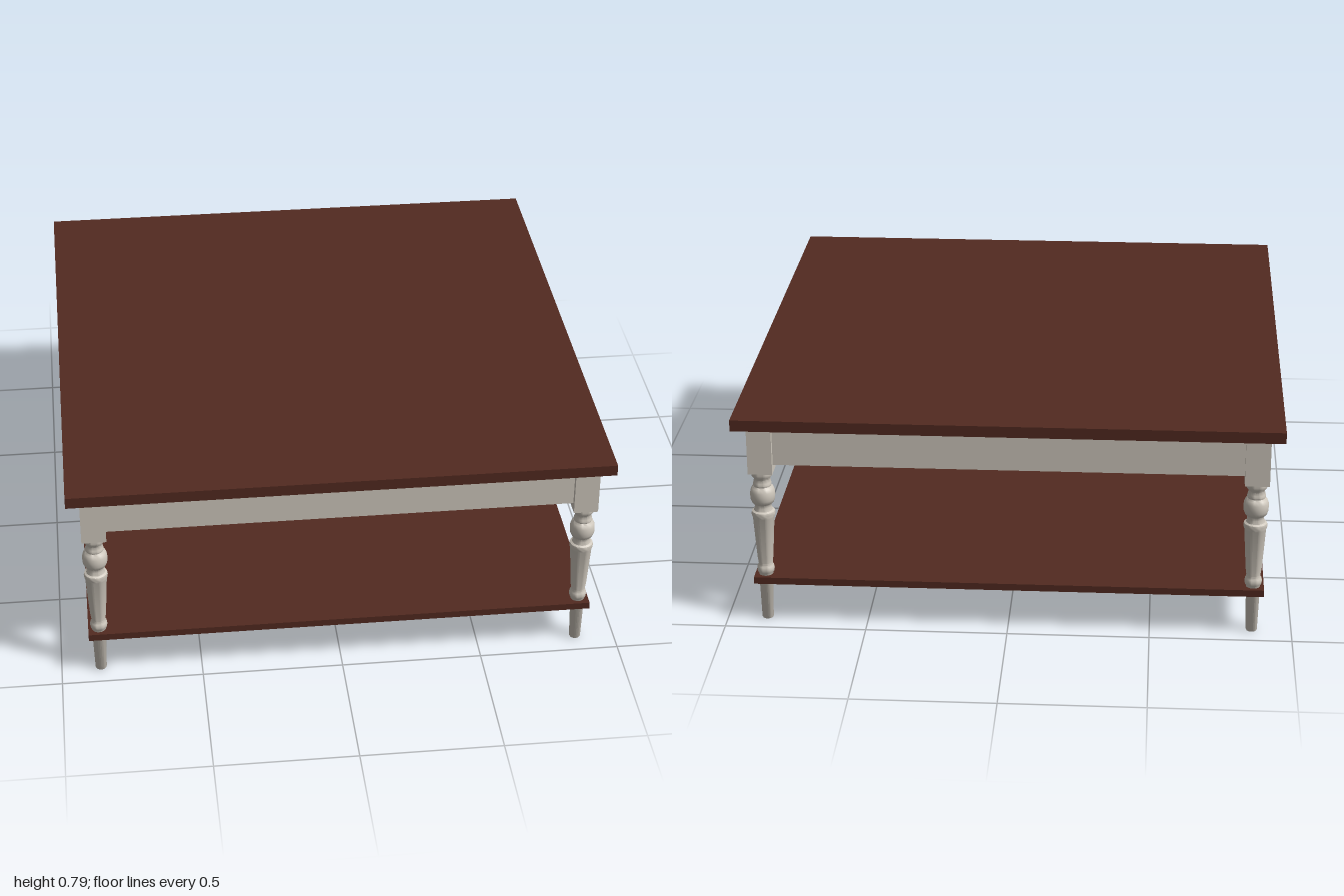
import * as THREE from 'three';
import { toCreasedNormals } from 'three/addons/utils/BufferGeometryUtils.js';

const wood = new THREE.MeshStandardMaterial({ color: 0x522a20 });
const paint = new THREE.MeshStandardMaterial({ color: 0xd0c9be });

function box(parent, name, material, w, h, d, x, y, z) {
  const mesh = new THREE.Mesh(new THREE.BoxGeometry(w, h, d), material);
  mesh.name = name;
  mesh.position.set(x, y, z);
  parent.add(mesh);
}

// Turned leg outline, as [radius, height] from the foot up
const legProfile = [
  [0, 0], [0.018, 0], [0.02, 0.004], [0.025, 0.178],
  [0.029, 0.183], [0.031, 0.194], [0.029, 0.205], [0.025, 0.211], [0.025, 0.218],
  [0.028, 0.24], [0.038, 0.395], [0.041, 0.402], [0.042, 0.41], [0.04, 0.418],
  [0.033, 0.422], [0.029, 0.435], [0.031, 0.446],
  [0.038, 0.452], [0.043, 0.465], [0.044, 0.48], [0.043, 0.495], [0.038, 0.508],
  [0.031, 0.514], [0.033, 0.52], [0.031, 0.528], [0.028, 0.54],
  [0.031, 0.547], [0.036, 0.553], [0.037, 0.562], [0.037, 0.575],
].map(([r, y]) => new THREE.Vector2(r, y));

export function createModel() {
  const table = new THREE.Group();
  table.name = 'coffeeTable';

  box(table, 'tabletop', wood, 1.9, 0.04, 2, 0, 0.77, 0);
  box(table, 'lowerShelf', wood, 1.796, 0.025, 1.91, 0, 0.16, 0);

  // Four turned legs with square blocks on top
  const legGeometry = toCreasedNormals(new THREE.LatheGeometry(legProfile, 24), 0.7);
  const legX = 0.86, legZ = 0.916;
  for (const sx of [-1, 1]) {
    for (const sz of [-1, 1]) {
      const leg = new THREE.Group();
      leg.name = (sz > 0 ? 'front' : 'back') + (sx > 0 ? 'Left' : 'Right') + 'Leg';
      leg.position.set(sx * legX, 0, sz * legZ);
      const turned = new THREE.Mesh(legGeometry, paint);
      turned.name = 'turnedLeg';
      leg.add(turned);
      box(leg, 'legBlock', paint, 0.086, 0.18, 0.078, 0, 0.66, 0);
      table.add(leg);
    }
  }

  // Apron boards between the leg blocks
  for (const s of [-1, 1]) {
    box(table, s > 0 ? 'frontApron' : 'backApron', paint, 1.64, 0.15, 0.04, 0, 0.675, s * 0.916);
    box(table, s > 0 ? 'leftApron' : 'rightApron', paint, 0.04, 0.15, 1.76, s * 0.86, 0.675, 0);
  }
  return table;
}
